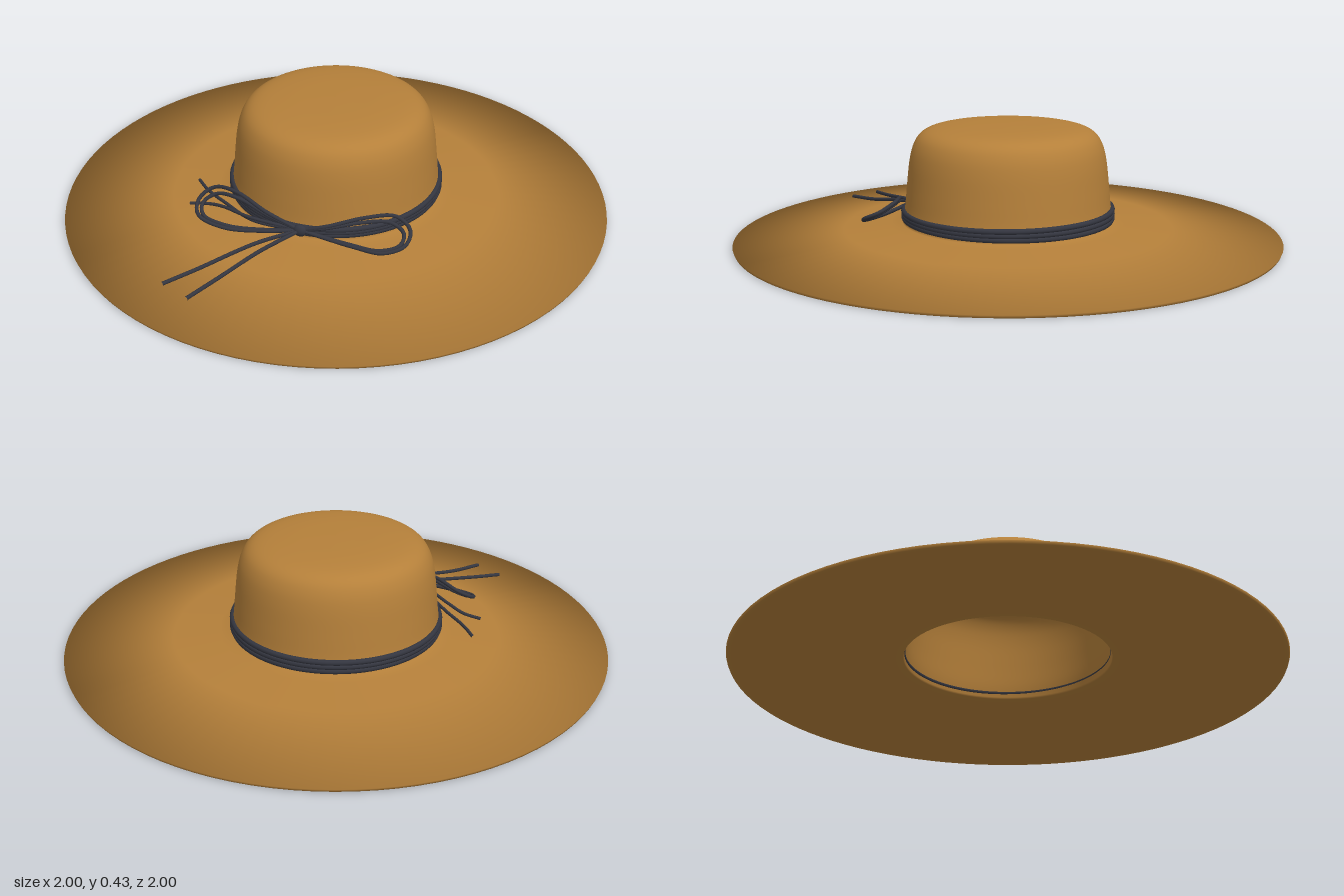
import * as THREE from 'three';

const v2 = (x, y) => new THREE.Vector2(x, y);

export function createModel() {
  const hat = new THREE.Group();
  hat.name = 'hat';
  const felt = new THREE.MeshStandardMaterial({ color: 0xb5803a });
  felt.name = 'tan felt';
  const cord = new THREE.MeshStandardMaterial({ color: 0x343640 });
  cord.name = 'dark cord';

  // crown outline from the brim up to the centre of the top
  const outline = new THREE.SplineCurve([
    v2(0.388, 0.068), v2(0.378, 0.12), v2(0.37, 0.2), v2(0.36, 0.29), v2(0.345, 0.35),
    v2(0.318, 0.39), v2(0.27, 0.411), v2(0.18, 0.421), v2(0.08, 0.424), v2(0, 0.425),
  ]).getPoints(40);
  outline[40].x = 0;
  const lining = outline.map(p => v2(p.x * 0.975, p.y - 0.012)).reverse();

  // closed shell: lining, underside, rim, brim top, crown
  const shell = new THREE.LatheGeometry([
    ...lining,
    v2(0.42, 0.051), v2(0.6, 0.036), v2(0.98, 0.002), v2(0.996, 0), v2(1, 0.01),
    v2(0.6, 0.048), v2(0.43, 0.063), ...outline,
  ], 96);
  // roll the shading softly over the rim
  const pos = shell.attributes.position, nor = shell.attributes.normal;
  for (let i = 0; i < pos.count; i++) {
    const x = pos.getX(i), z = pos.getZ(i), r = Math.hypot(x, z);
    if (r > 0.999) nor.setXYZ(i, x / r, 0.05, z / r);
  }
  const body = new THREE.Mesh(shell, felt);
  body.name = 'crownAndBrim';
  hat.add(body);

  const strand = (name, pts, radius = 0.007, closed = false) => {
    const curve = new THREE.CatmullRomCurve3(pts.map(p => new THREE.Vector3(...p)), closed);
    const mesh = new THREE.Mesh(new THREE.TubeGeometry(curve, closed ? 96 : 48, radius, 8, closed), cord);
    mesh.name = name;
    hat.add(mesh);
  };

  // cords wound round the foot of the crown, spreading towards the back
  [-1, 0, 1].forEach(k => {
    const ring = [];
    for (let i = 0; i < 32; i++) {
      const a = i / 32 * Math.PI * 2;
      const spread = 0.011 + 0.003 * (1 - Math.cos(a));
      ring.push([0.382 * Math.sin(a), 0.097 + k * spread, 0.382 * Math.cos(a)]);
    }
    strand('bandCord', ring, 0.0105, true);
  });

  // double bow loops
  const leftLoop = [[0, 0.1, 0.392], [0.1, 0.133, 0.385], [0.22, 0.162, 0.335], [0.32, 0.168, 0.302],
    [0.378, 0.142, 0.33], [0.378, 0.115, 0.39], [0.31, 0.092, 0.425], [0.2, 0.088, 0.415], [0, 0.1, 0.392]];
  const rightLoop = [[0, 0.1, 0.392], [-0.12, 0.15, 0.395], [-0.26, 0.172, 0.335], [-0.36, 0.152, 0.302],
    [-0.402, 0.12, 0.34], [-0.38, 0.095, 0.405], [-0.27, 0.085, 0.44], [-0.13, 0.09, 0.425], [0, 0.1, 0.392]];
  [['leftBowLoop', leftLoop], ['rightBowLoop', rightLoop]].forEach(([name, pts]) => {
    strand(name, pts);
    strand(name, pts.map(([x, y, z]) => [x * 0.95, 0.1 + (y - 0.1) * 0.75, 0.392 + (z - 0.392) * 0.8]));
  });

  // loose ends lying on the brim
  strand('longTail', [[0, 0.1, 0.392], [-0.13, 0.075, 0.48], [-0.28, 0.046, 0.65], [-0.365, 0.034, 0.75]]);
  strand('longTail', [[0, 0.1, 0.392], [-0.1, 0.075, 0.52], [-0.19, 0.046, 0.67], [-0.255, 0.034, 0.8]]);
  strand('shortTail', [[0, 0.1, 0.392], [-0.18, 0.088, 0.37], [-0.34, 0.072, 0.265], [-0.43, 0.066, 0.2], [-0.49, 0.063, 0.14]], 0.006);
  strand('shortTail', [[0, 0.1, 0.392], [-0.2, 0.1, 0.37], [-0.32, 0.085, 0.315], [-0.39, 0.07, 0.292], [-0.46, 0.06, 0.296]], 0.006);

  // knot
  const knot = new THREE.Mesh(new THREE.SphereGeometry(0.023, 20, 14), cord);
  knot.scale.set(1.1, 1, 0.7);
  knot.position.set(0, 0.1, 0.393);
  knot.name = 'knot';
  hat.add(knot);

  return hat;
}
